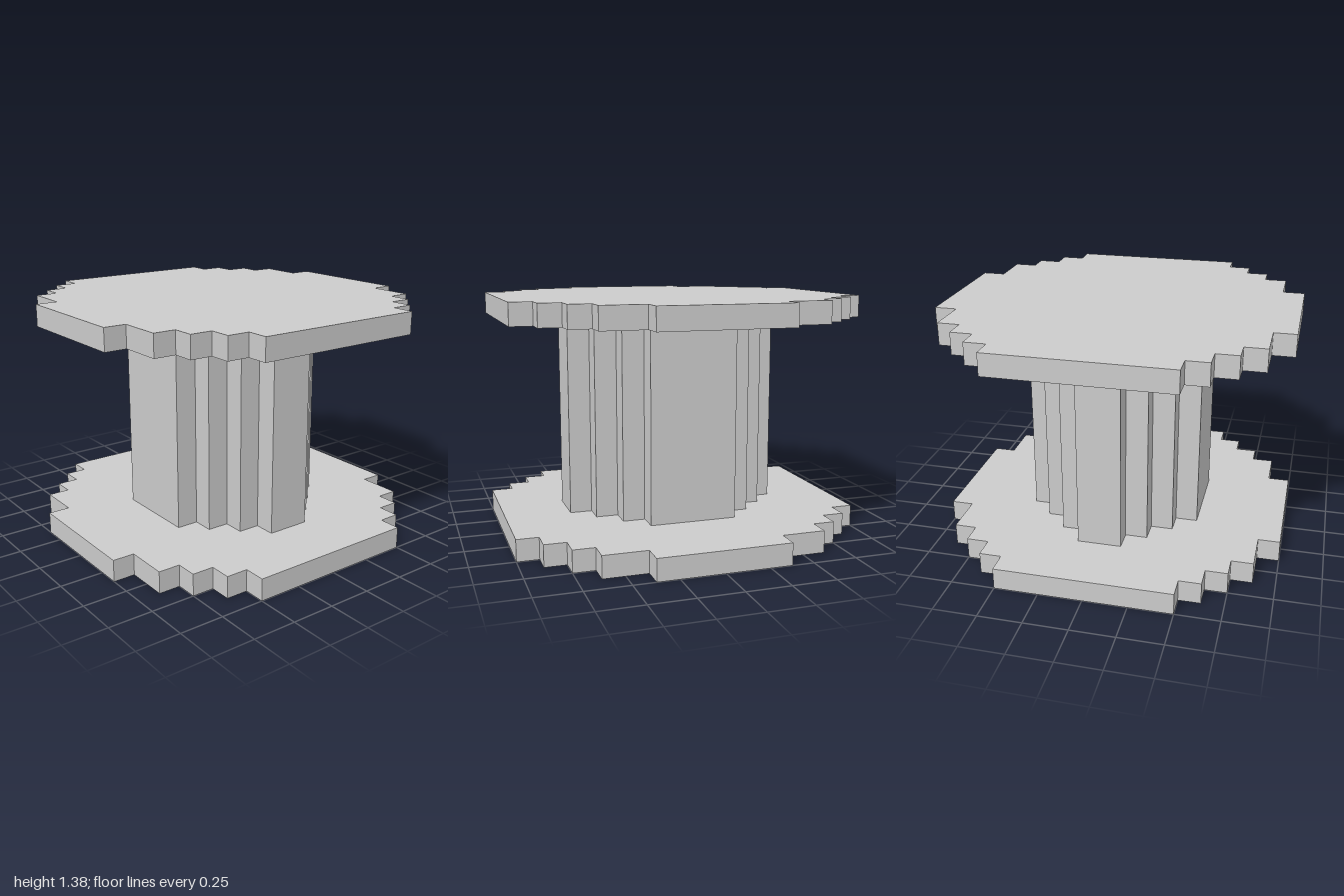
import * as THREE from 'three';

const material = new THREE.MeshStandardMaterial({ color: 0xcccccc, flatShading: true });

// Stepped round outline: each step is [half width in x, half depth in z], widest first.
function steppedOutline(steps) {
  const quarter = [];
  steps.forEach(([x, z], i) => {
    if (i > 0) quarter.push([x, steps[i - 1][1]]);
    quarter.push([x, z]);
  });
  const flipped = [...quarter].reverse();
  const points = [
    ...quarter,
    ...flipped.map(([x, z]) => [-x, z]),
    ...quarter.map(([x, z]) => [-x, -z]),
    ...flipped.map(([x, z]) => [x, -z]),
  ];
  return new THREE.Shape(points.map(([x, z]) => new THREE.Vector2(x, z)));
}

// Upright prism from an outline, standing on height y.
function prism(name, shape, y, height) {
  const geometry = new THREE.ExtrudeGeometry(shape, { depth: height, bevelEnabled: false });
  geometry.rotateX(-Math.PI / 2);
  const mesh = new THREE.Mesh(geometry, material);
  mesh.name = name;
  mesh.position.y = y;
  return mesh;
}

export function createModel() {
  const group = new THREE.Group();
  group.name = 'spool';

  const flange = steppedOutline([[1, 0.5], [0.875, 0.625], [0.75, 0.75], [0.625, 0.875], [0.375, 1]]);
  const core = steppedOutline([[0.625, 0.125], [0.5, 0.25], [0.375, 0.375], [0.25, 0.5]]);

  group.add(
    prism('bottomFlange', flange, 0, 0.125),
    prism('core', core, 0.125, 1.125),
    prism('topFlange', flange, 1.25, 0.125),
  );
  return group;
}
